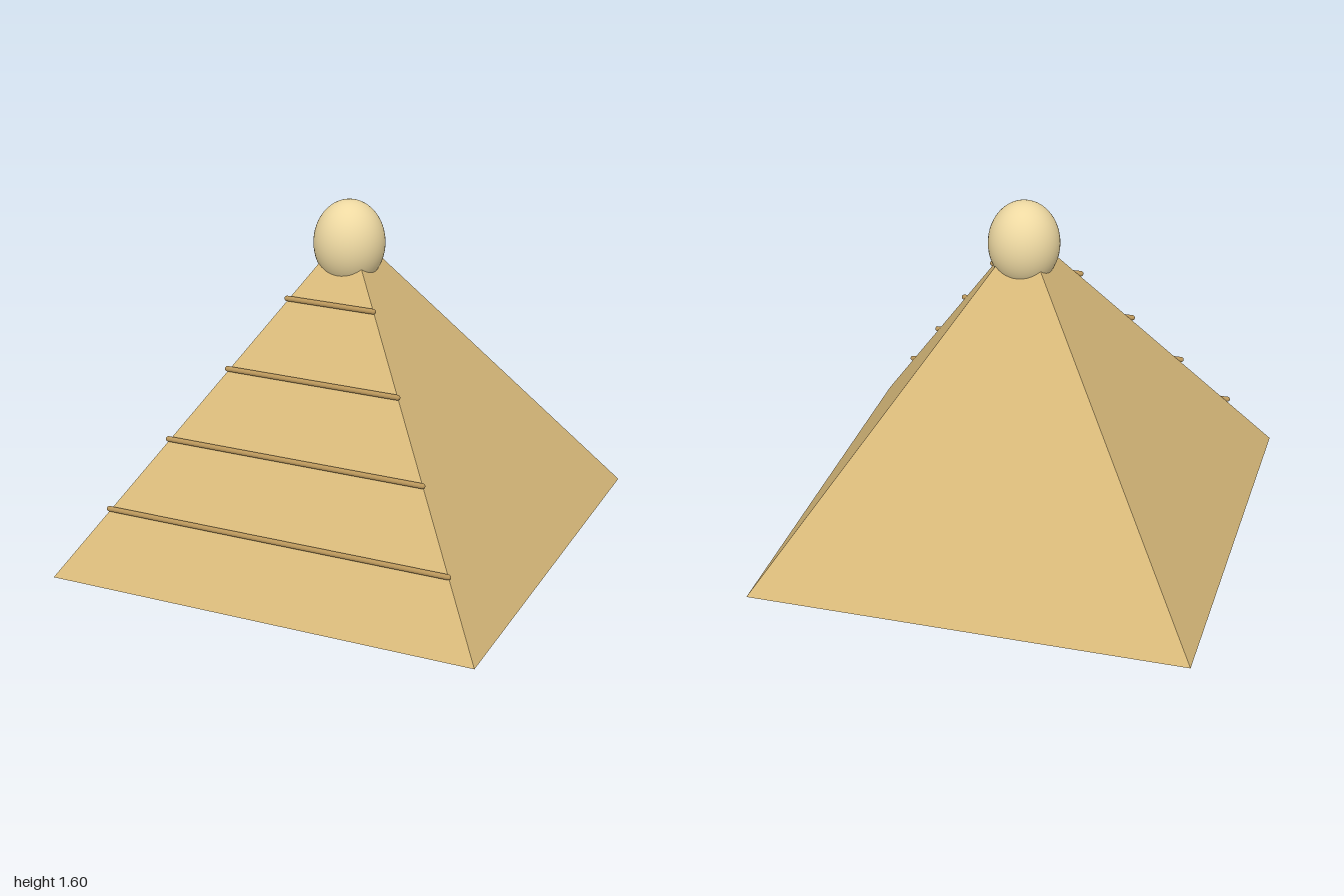
import * as THREE from 'three';

export function createModel() {
  const group = new THREE.Group();
  const height = 1.47;

  function add(name, geometry, color, flatShading = false) {
    const mesh = new THREE.Mesh(geometry, new THREE.MeshStandardMaterial({ color, flatShading }));
    mesh.name = name;
    group.add(mesh);
    return mesh;
  }

  // Square pyramid with a closed base, one face towards the front
  const pyramid = new THREE.ConeGeometry(Math.SQRT2, height, 4);
  pyramid.rotateY(Math.PI / 4);
  pyramid.translate(0, height / 2, 0);
  add('pyramidBody', pyramid, 0xd9ba7a, true);

  // Egg-shaped knob over the apex
  const knob = add('topKnob', new THREE.SphereGeometry(1, 48, 32), 0xeed9a2);
  knob.scale.set(0.16, 0.195, 0.16);
  knob.position.y = 1.4;

  // Round-ended bars across the front face, one at each fifth of the height
  const radius = 0.012;
  for (let i = 1; i <= 4; i++) {
    const half = 1 - i / 5;
    const bar = new THREE.CapsuleGeometry(radius, 2 * (half + 0.007), 6, 16);
    bar.rotateZ(Math.PI / 2);
    add('frontBar' + i, bar, 0xb8955a).position.set(0, (height * i) / 5, half + 0.014);
  }

  return group;
}
